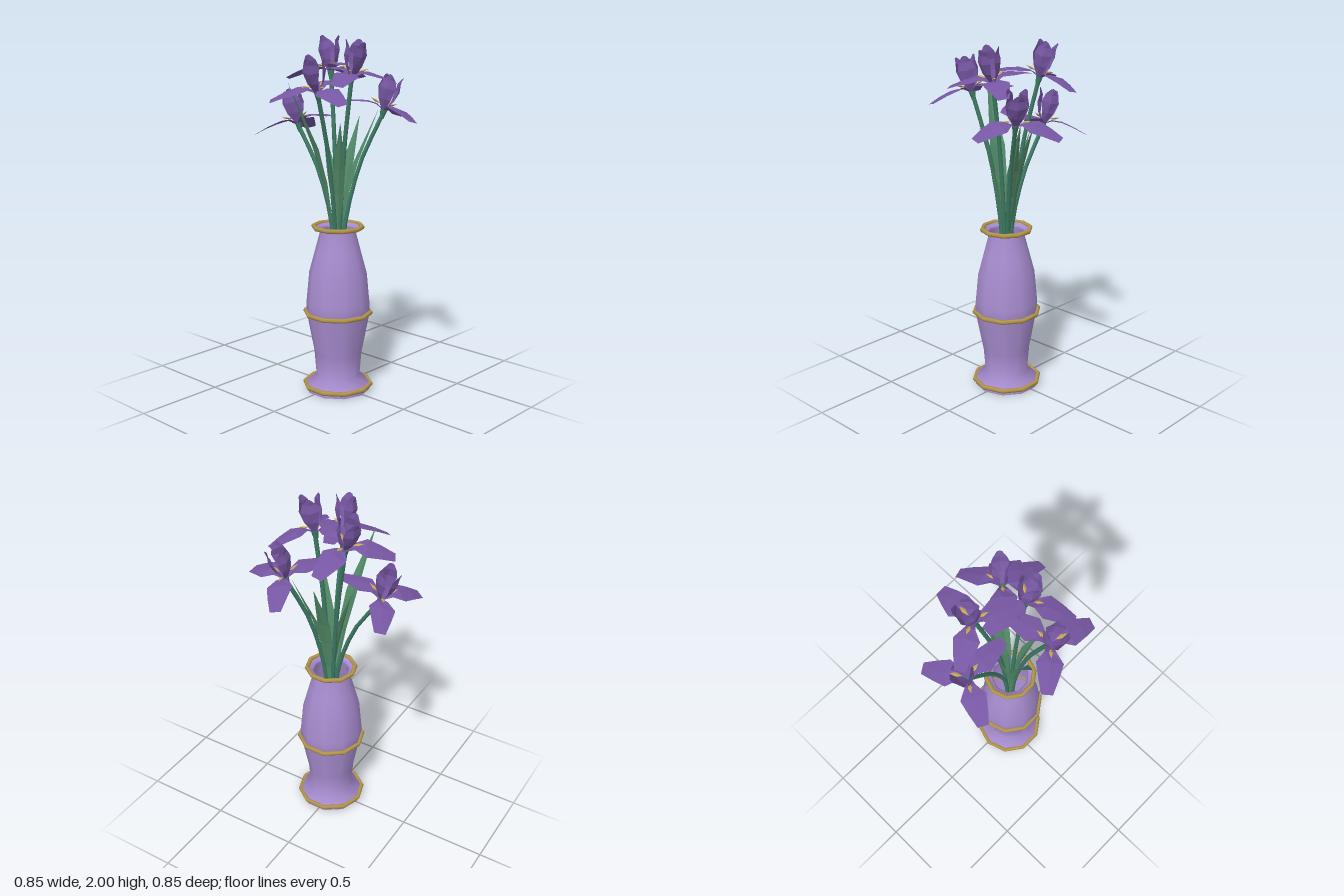
import * as THREE from 'three';

const mat = (name, color, side = THREE.FrontSide) => {
  const m = new THREE.MeshStandardMaterial({ color, side });
  m.name = name;
  return m;
};

// Faceted blade: each row is [centre, halfWidthVector, foldVector], edges shifted by the fold
function blade(rows) {
  const pos = [], idx = [];
  rows.forEach(([c, w, f]) => {
    for (const k of [-1, 0, 1]) {
      const p = c.clone().addScaledVector(w, k);
      if (k) p.add(f);
      pos.push(p.x, p.y, p.z);
    }
  });
  for (let i = 0; i < rows.length - 1; i++) {
    for (let j = 0; j < 2; j++) {
      const a = i * 3 + j, b = a + 3;
      idx.push(a, a + 1, b, a + 1, b + 1, b);
    }
  }
  const g = new THREE.BufferGeometry();
  g.setAttribute('position', new THREE.Float32BufferAttribute(pos, 3));
  g.setIndex(idx);
  const flat = g.toNonIndexed();
  flat.computeVertexNormals();
  return flat;
}

// Petal growing along +x: rows of [x, y, halfWidth, foldX, foldY]
const petal = rows => blade(rows.map(([x, y, w, fx, fy]) =>
  [new THREE.Vector3(x, y, 0), new THREE.Vector3(0, 0, w), new THREE.Vector3(fx, fy, 0)]));

export function createModel() {
  const root = new THREE.Group();
  const lilac = mat('lilac glaze', 0xa88dd0, THREE.DoubleSide);
  const gold = mat('gold', 0xb2954a);
  const purple = mat('petal purple', 0x7656a2, THREE.DoubleSide);
  const yellow = mat('stamen yellow', 0xc2a850);
  const stemGreen = mat('stem green', 0x3d7b64);
  const leafGreen = mat('leaf green', 0x528a68, THREE.DoubleSide);

  const add = (parent, name, geo, material) => {
    const m = new THREE.Mesh(geo, material);
    m.name = name;
    parent.add(m);
    return m;
  };

  // Ten-sided vase with three gold bands
  const CX = 0.02, CZ = 0.01;
  const vase = new THREE.Group();
  vase.name = 'vase';
  vase.position.set(CX, 0, CZ);
  root.add(vase);
  const profile = [[0.185, 0], [0.185, 0.035], [0.125, 0.085], [0.136, 0.22], [0.182, 0.46],
    [0.18, 0.52], [0.164, 0.69], [0.132, 0.81], [0.1, 0.93], [0.108, 0.945], [0.137, 0.963]]
    .map(p => new THREE.Vector2(...p));
  add(vase, 'vaseBody', new THREE.LatheGeometry(profile, 10, Math.PI / 2), lilac);
  add(vase, 'vaseBottom', new THREE.CircleGeometry(0.185, 10).rotateX(Math.PI / 2), lilac);
  for (const [name, r, y] of [['footBand', 0.19, 0.03], ['waistBand', 0.187, 0.46], ['rimBand', 0.138, 0.956]]) {
    add(vase, name, new THREE.TorusGeometry(r, 0.013, 6, 10).rotateX(Math.PI / 2), gold).position.y = y;
  }

  // Shared flower parts
  const fallGeo = petal([[0.005, 0, 0.012, 0, 0], [0.05, 0.022, 0.03, 0, 0.005],
    [0.105, 0.03, 0.07, 0, -0.006], [0.18, 0.012, 0.052, 0, -0.004], [0.255, -0.015, 0.03, 0, 0]]);
  const standardGeo = petal([[0.008, 0, 0.012, 0, 0], [0.042, 0.06, 0.034, -0.008, 0],
    [0.058, 0.115, 0.05, -0.016, 0.008], [0.052, 0.16, 0.036, -0.01, 0.004], [0.056, 0.198, 0.014, 0, -0.006]]);
  const stamenGeo = new THREE.OctahedronGeometry(1).scale(0.032, 0.006, 0.011);
  const budGeo = new THREE.CylinderGeometry(0.02, 0.011, 0.05, 6);

  // Flowers: base position, angle of first fall in degrees (x towards z), outward lean
  const flowers = [
    [-0.13, 1.805, -0.095, 32, 14],
    [-0.285, 1.51, 0.01, 0, 17],
    [0.17, 1.60, -0.2, 10, 16],
    [0.12, 1.79, 0.01, 64, 10],
    [0.07, 1.715, 0.22, 17, 14],
  ];
  for (const [x, y, z, turn, lean] of flowers) {
    const flower = new THREE.Group();
    flower.name = 'flower';
    flower.position.set(x, y, z);
    const out = new THREE.Vector3(x - CX, 0, z - CZ).normalize();
    flower.quaternion.setFromAxisAngle(new THREE.Vector3(out.z, 0, -out.x), THREE.MathUtils.degToRad(lean));
    root.add(flower);
    for (let i = 0; i < 3; i++) {
      const third = new THREE.Group();
      third.name = 'flowerThird';
      third.rotation.y = -THREE.MathUtils.degToRad(turn + i * 120);
      flower.add(third);
      add(third, 'fallPetal', fallGeo, purple);
      const stamen = add(third, 'stamen', stamenGeo, yellow);
      stamen.position.set(0.058, 0.04, 0);
      stamen.rotation.z = 0.3;
      add(third, 'standardPetal', standardGeo, purple).rotation.y = Math.PI / 3;
    }
    add(flower, 'flowerBase', budGeo, stemGreen).position.y = -0.022;

    // Stem bending outwards from the vase mouth
    const path = new THREE.CatmullRomCurve3([
      [0.02, 0.6, 0.15], [0.98, 0.98, 0.15], [0, 0, 0.46], [0, 0, 1],
    ].map(([, , t], i) => {
      const h = [0.6, 0.97, 0.97 + (y - 0.97) * 0.55, y - 0.03][i];
      const k = [0.05, 0.16, 0.5, 0.96][i];
      return new THREE.Vector3(CX + (x - CX) * k, h, CZ + (z - CZ) * k);
    }));
    add(root, 'stem', new THREE.TubeGeometry(path, 8, 0.012, 6), stemGreen);
  }

  // Leaves: tip position and half width, flat side facing outwards
  const leaves = [
    [-0.1, 1.76, 0.27, 0.045],
    [0.01, 1.56, -0.18, 0.04],
    [0.13, 1.55, 0.11, 0.035],
    [0.13, 1.6, -0.2, 0.03],
    [-0.13, 1.5, -0.03, 0.03],
  ];
  for (const [x, y, z, w] of leaves) {
    const dx = x - CX, dz = z - CZ;
    const out = new THREE.Vector3(dx, 0, dz).normalize();
    const side = new THREE.Vector3(-out.z, 0, out.x);
    const rows = [[0.6, 0.05, 0.3], [0.97, 0.14, 0.4], [0.97 + (y - 0.97) * 0.3, 0.3, 0.8],
      [0.97 + (y - 0.97) * 0.55, 0.5, 1], [y, 1, 0.02]]
      .map(([h, k, f]) => [new THREE.Vector3(CX + dx * k, h, CZ + dz * k),
        side.clone().multiplyScalar(w * f), out.clone().multiplyScalar(-0.012 * f)]);
    add(root, 'leaf', blade(rows), leafGreen);
  }
  return root;
}
